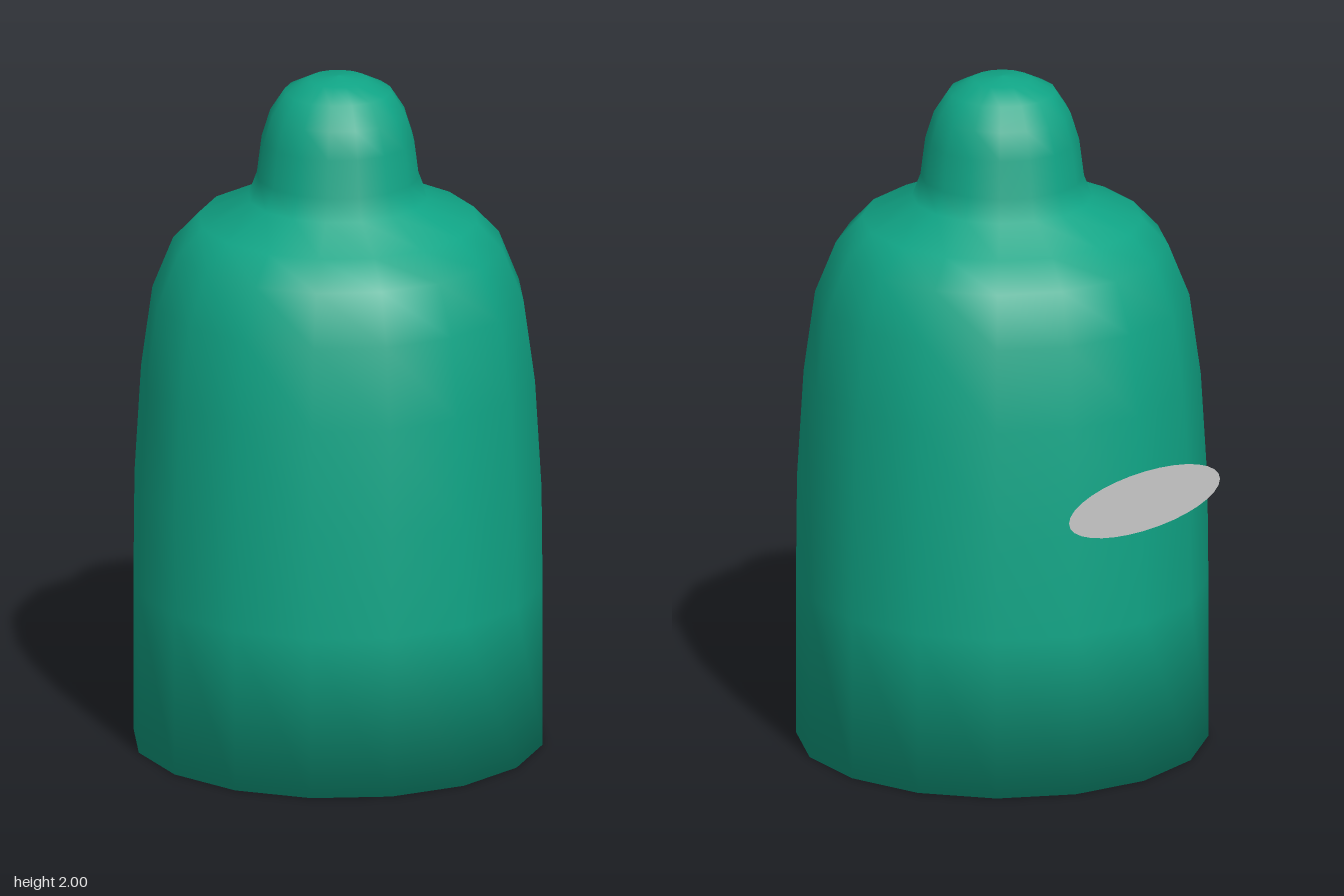
import * as THREE from 'three';

export function createModel() {
  const model = new THREE.Group();
  const teal = new THREE.MeshStandardMaterial({ color: 0x10a586 });
  const grey = new THREE.MeshStandardMaterial({ color: 0xcccccc });

  // Bottle body: closed base, tapering wall, rounded shoulder and domed cap
  const profile = [
    [0, 0], [0.595, 0], [0.595, 0.48], [0.592, 0.78], [0.573, 1.1],
    [0.54, 1.34], [0.48, 1.49], [0.405, 1.57], [0.26, 1.635],
    [0.236, 1.7], [0.222, 1.81], [0.197, 1.89], [0.155, 1.955],
    [0.085, 1.99], [0, 2],
  ].map(([r, y]) => new THREE.Vector2(r, y));
  const body = new THREE.Mesh(new THREE.LatheGeometry(profile, 16), teal);
  body.name = 'body';
  model.add(body);

  // Flat oval plate on the back
  const plate = new THREE.Mesh(new THREE.CircleGeometry(1, 32).scale(0.3, 0.09, 1), grey);
  plate.name = 'backPlate';
  plate.rotation.y = Math.PI;
  plate.position.set(0, 0.85, -0.597);
  model.add(plate);

  return model;
}
